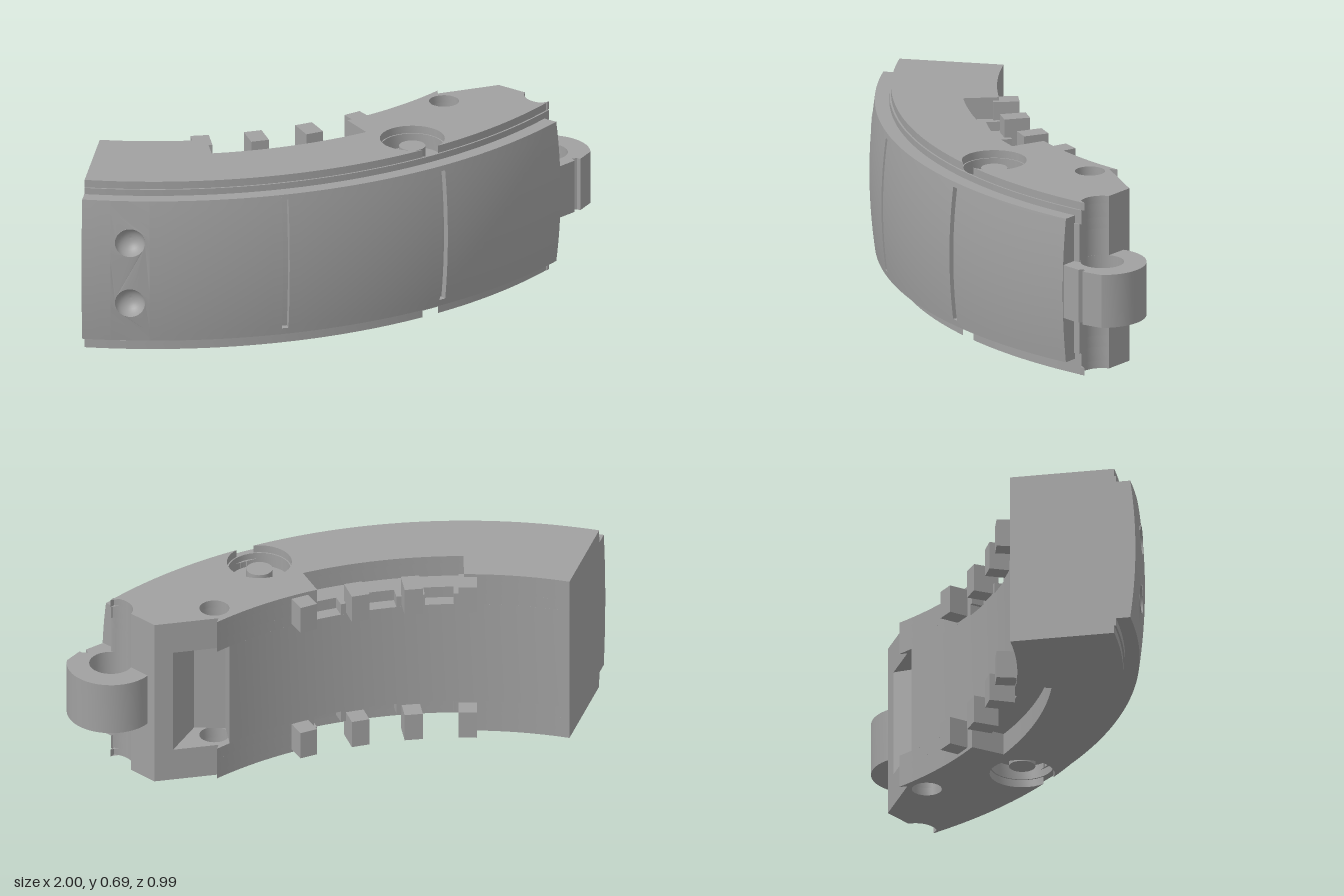
import * as THREE from 'three';
import { toCreasedNormals } from 'three/addons/utils/BufferGeometryUtils.js';

// Everything is swept about one arc centre; angles run from +z toward +x
const CX = -0.57, CZ = -1.4, H = 0.685, A0 = -0.23, A1 = 0.868;
const R_IN = 1.407;
const polar = (r, a, c = [CX, CZ]) => [c[0] + r * Math.sin(a), c[1] + r * Math.cos(a)];
const arc = (r, a, b, n = 24, c) =>
  Array.from({ length: n + 1 }, (_, i) => polar(r, a + ((b - a) * i) / n, c));
const PIN = [0.83, -0.33], PIN_R = 0.083;
const CUP_A = 0.533, CUP_D = 1.69, CUP = polar(CUP_D, CUP_A);
const BAND = [[0.058, 0.4636, 1.543]];
const POCKETS = [0.124, 0.279, 0.434].map((a) => [a - 0.039, a + 0.039, 1.46]);

export function createModel() {
  const group = new THREE.Group();
  const grey = new THREE.MeshStandardMaterial({ color: 0xa0a0a0, side: THREE.DoubleSide });
  grey.name = 'grey';

  function add(name, geo, parent = group) {
    const mesh = new THREE.Mesh(geo, grey);
    mesh.name = name;
    parent.add(mesh);
    return mesh;
  }
  // Plan outline (x, z) raised from y0 to y1
  const toV = (pts) => pts.map(([x, z]) => new THREE.Vector2(x, -z));
  function slab(pts, holes, y0, y1) {
    const shape = new THREE.Shape(toV(pts));
    holes.forEach(([c, r]) => shape.holes.push(new THREE.Path(toV(arc(r, 0, Math.PI * 2, 32, c).slice(0, 32)))));
    const geo = new THREE.ExtrudeGeometry(shape, { depth: y1 - y0, bevelEnabled: false });
    geo.rotateX(-Math.PI / 2).translate(0, y0, 0);
    return toCreasedNormals(geo, 0.5);
  }

  // Outline of the curved body, with optional cuts along its edges
  function outline(rOut, notches, cupR, window) {
    const pts = [];
    const end = Math.asin((0.835 - CX) / rOut);
    if (cupR) {
      const f = Math.acos((rOut ** 2 + CUP_D ** 2 - cupR ** 2) / (2 * rOut * CUP_D));
      const dir = (a) => { const p = polar(rOut, a); return Math.atan2(p[0] - CUP[0], p[1] - CUP[1]); };
      pts.push(...arc(rOut, A0, CUP_A - f, 32));
      pts.push(...arc(cupR, dir(CUP_A - f), dir(CUP_A + f) - Math.PI * 2, 36, CUP).slice(1, -1));
      pts.push(...arc(rOut, CUP_A + f, end, 16));
    } else pts.push(...arc(rOut, A0, end, 48));
    // hinge socket and sloping back face
    pts.push(...arc(PIN_R, -0.03, -1.93, 14, PIN), [0.66, -0.44]);
    let a = 0.785;
    if (window) {
      pts.push([0.59, -0.421], [0.52, -0.25], [0.4, -0.25]);
      a = 0.74;
    } else pts.push([0.42, -0.375]);
    [...notches].reverse().forEach(([s, e, r]) => {
      pts.push(...arc(R_IN, a, e, 12), ...arc(r, e, s, 14));
      a = s;
    });
    pts.push(...arc(R_IN, a, A0, 24));
    return pts;
  }

  // Body, built in layers that mirror about mid height
  const small = [[0.44, -0.3], 0.057];
  const body = new THREE.Group();
  body.name = 'body';
  group.add(body);
  add('middleLayer', slab(outline(1.82, [], 0, true), [], 0.13, H - 0.13), body);
  const layers = [
    ['rimLayer', outline(1.808, BAND, 0.123), [small], 0, 0.03],
    ['recessLayer', outline(1.815, BAND, 0), [small, [CUP, 0.118]], 0.03, 0.085],
    ['floorLayer', outline(1.82, POCKETS, 0), [small], 0.085, 0.13],
  ];
  const span = (top, y0, y1) => (top ? [H - y1, H - y0] : [y0, y1]);
  [false, true].forEach((top) => {
    layers.forEach(([name, pts, holes, y0, y1]) => add(name, slab(pts, holes, ...span(top, y0, y1)), body));
    // boss in the round recess
    const boss = add('boss', new THREE.CylinderGeometry(0.05, 0.05, 0.06, 32));
    const by = span(top, 0.03, 0.09);
    boss.position.set(CUP[0], (by[0] + by[1]) / 2, CUP[1]);
    // teeth along the inner edge
    [0.047, 0.201, 0.356, 0.515].forEach((a) => {
      const tooth = add('tooth', new THREE.BoxGeometry(0.07, 0.11, 0.1));
      const [x, z] = polar(1.38, a);
      tooth.position.set(x, top ? H - 0.068 : 0.068, z);
      tooth.rotation.y = a;
    });
  });

  // Outer panel: a barrel-shaped skin made of angular sections
  const Y0 = 0.06, Y1 = 0.63, N = 16;
  const bulge = (y) => 1.89 - 0.02 * ((y - 0.345) / 0.285) ** 2;
  const ys = Array.from({ length: N + 1 }, (_, i) => Y0 + ((Y1 - Y0) * i) / N);
  const face = ys.map((y) => [bulge(y), y]);
  const plain = [[1.8, Y0], ...face, [1.8, Y1]];
  const inGroove = ys.filter((y) => y > 0.09 && y < 0.6);
  const grooved = [
    [1.8, Y0], [bulge(Y0), Y0], [bulge(0.085), 0.085], [bulge(0.085) - 0.025, 0.085],
    ...inGroove.map((y) => [bulge(y) - 0.025, y]),
    [bulge(0.61) - 0.025, 0.61], [bulge(0.61), 0.61], [bulge(Y1), Y1], [1.8, Y1],
  ];
  const panel = new THREE.Group();
  panel.name = 'outerPanel';
  panel.position.set(CX, 0, CZ);
  group.add(panel);
  const vecs = (p) => p.map(([x, y]) => new THREE.Vector2(x, y));
  function sweep(name, profile, a, b) {
    const n = Math.max(2, Math.ceil((b - a) * 50));
    add(name, toCreasedNormals(new THREE.LatheGeometry(vecs(profile), n, a, b - a), 0.5), panel);
  }
  function cap(a) {
    const geo = new THREE.ShapeGeometry(new THREE.Shape(vecs(plain)));
    add('panelEnd', geo.rotateY(a - Math.PI / 2), panel);
  }
  const D0 = -0.172, D1 = -0.093, G1 = 0.177, G2 = 0.531, GW = 0.014;
  [[A0, D0], [D1, G1], [G1 + GW, G2], [G2 + GW, A1]].forEach(([a, b]) => sweep('panelSection', plain, a, b));
  [G1, G2].forEach((g) => {
    sweep('panelGroove', grooved, g, g + GW);
    cap(g);
    cap(g + GW);
  });
  [A0, A1].forEach(cap);

  // Panel section with two round dimples
  sweep('panelLowerEdge', plain.slice(0, 2), D0, D1);
  sweep('panelUpperEdge', plain.slice(-2), D0, D1);
  const dimpled = new THREE.Shape(vecs([...ys.map((y) => [D1, y]), ...[...ys].reverse().map((y) => [D0, y])]));
  const DA = (D0 + D1) / 2, DR = 0.057;
  [0.22, 0.465].forEach((y) => {
    const ring = Array.from({ length: 32 }, (_, i) => {
      const t = (i / 32) * Math.PI * 2;
      return [DA + (DR / 1.887) * Math.cos(t), y + DR * Math.sin(t)];
    });
    dimpled.holes.push(new THREE.Path(vecs(ring)));
    const bowl = Array.from({ length: 9 }, (_, i) => {
      const t = (i / 8) * Math.PI / 2;
      return [DR * Math.sin(t), -0.055 * Math.cos(t)];
    });
    const geo = new THREE.LatheGeometry(vecs(bowl), 32);
    geo.rotateX(Math.PI / 2).translate(0, y, bulge(y)).rotateY(DA);
    add('dimple', geo, panel);
  });
  const skin = new THREE.ShapeGeometry(dimpled);
  const p = skin.attributes.position;
  for (let i = 0; i < p.count; i++) {
    const a = p.getX(i), y = p.getY(i), r = bulge(y);
    p.setXYZ(i, r * Math.sin(a), y, r * Math.cos(a));
  }
  skin.computeVertexNormals();
  add('dimpledSection', skin, panel);

  // Hinge lug with pin hole and a small groove on its outer side
  const lug = [
    [0.75, -0.22], [0.865, -0.18], [0.93, -0.235], [0.922, -0.256], [0.942, -0.26], [0.953, -0.25], [0.998, -0.32],
    ...arc(0.168, Math.PI / 2, Math.PI * 1.65, 32, PIN),
  ];
  add('hingeLug', slab(lug, [[PIN, PIN_R]], 0.24, 0.45));

  return group;
}
